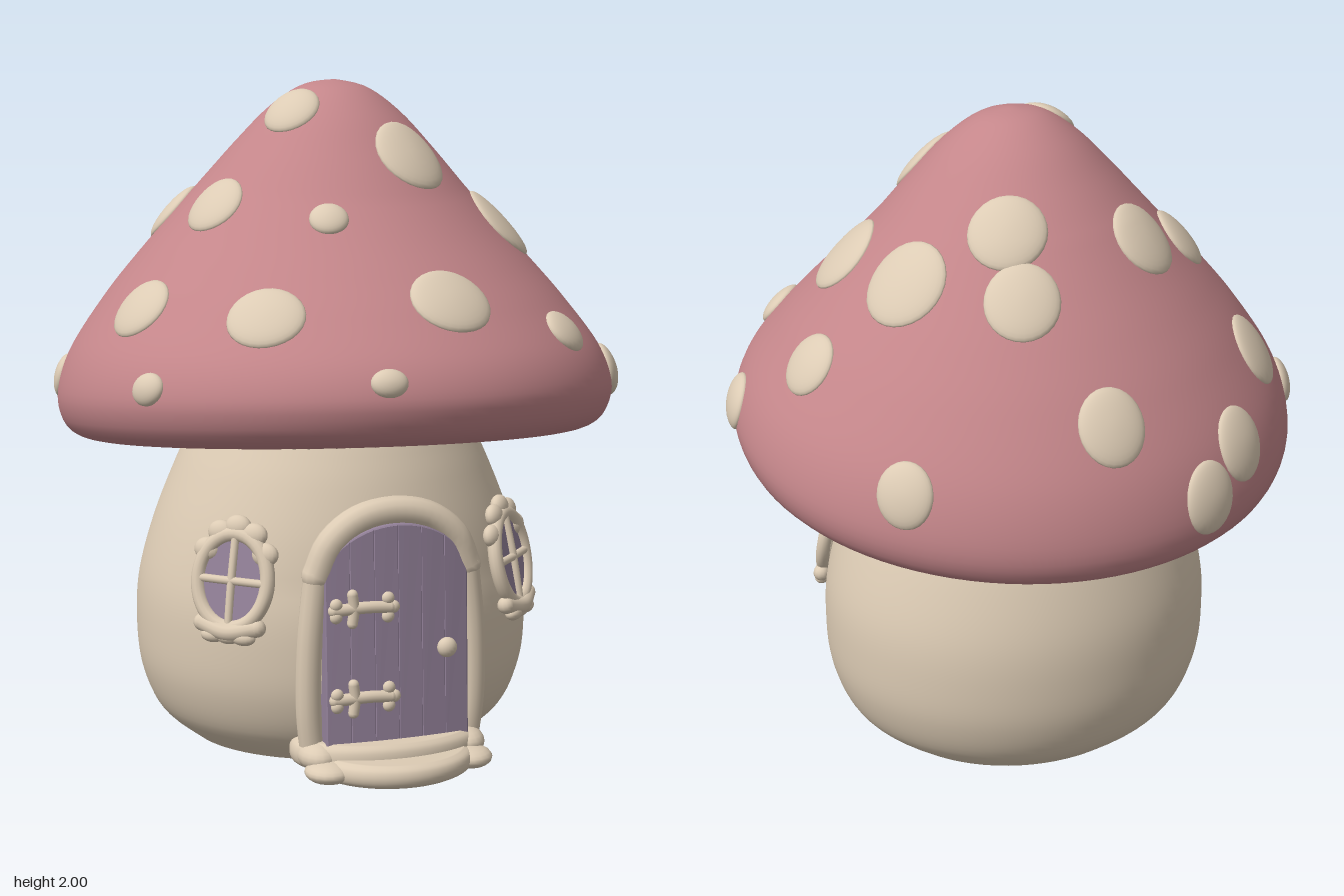
import * as THREE from 'three';
import { mergeVertices } from 'three/addons/utils/BufferGeometryUtils.js';

const mat = (name, color) => Object.assign(new THREE.MeshStandardMaterial({ color }), { name });
const cream = mat('cream', 0xdccbb4);
const rose = mat('rose', 0xc4868a);
const lilac = mat('lilac', 0x94829a);

const clamp = THREE.MathUtils.clamp;
const v2 = (list) => list.map(([x, y]) => new THREE.Vector2(x, y));
const v3 = (list) => list.map((p) => new THREE.Vector3(...p));

function add(parent, name, geometry, material, x = 0, y = 0, z = 0) {
  const m = new THREE.Mesh(geometry, material);
  m.name = name;
  m.position.set(x, y, z);
  parent.add(m);
  return m;
}

// Move every vertex by a rule, then rebuild seamless smooth normals
function reshape(geometry, rule) {
  const p = geometry.attributes.position, v = new THREE.Vector3();
  for (let i = 0; i < p.count; i++) {
    rule(v.fromBufferAttribute(p, i));
    p.setXYZ(i, v.x, v.y, v.z);
  }
  geometry.deleteAttribute('uv');
  geometry.deleteAttribute('normal');
  const g = mergeVertices(geometry, 1e-5);
  g.computeVertexNormals();
  return g;
}

// Round bar with ball ends, along a smooth path
function bar(parent, name, points, radius) {
  const g = new THREE.Group();
  g.name = name;
  parent.add(g);
  const path = new THREE.CatmullRomCurve3(v3(points));
  add(g, name + 'Bar', new THREE.TubeGeometry(path, 24, radius, 12), cream);
  for (const p of [points[0], points[points.length - 1]])
    add(g, name + 'End', new THREE.SphereGeometry(radius, 12, 10), cream, ...p);
}

function blob(parent, name, pos, size) {
  const g = new THREE.SphereGeometry(1, 18, 12);
  g.scale(...size);
  add(parent, name, g, cream, ...pos);
}

// Cap outline, from the underside lip over the rim to the tip
const capCurve = new THREE.SplineCurve(v2([
  [0.66, 0.95], [0.72, 0.92], [0.79, 0.935], [0.832, 0.98], [0.846, 1.065], [0.805, 1.19], [0.7, 1.342],
  [0.6, 1.462], [0.5, 1.573], [0.4, 1.685], [0.3, 1.8], [0.2, 1.905], [0.1, 1.975], [0, 1.997]]));
const capLength = capCurve.getLength();

// The rim sits tipped back, higher at the front, and the tip leans a little backward
const tip = (v) => { v.y += clamp(0.12 - 0.27 * (v.y - 1.02), -0.06, 0.12) * v.z - 0.02 * v.x; };

// Puffy spot wrapped onto the cap, centred over (x, z), as if rolled onto a cone
function spotGeometry(x, z, radius) {
  const angle = Math.atan2(x, z), reach = Math.min(Math.hypot(x, z), 0.838);
  let u = 1;
  while (u > 0.2 && capCurve.getPointAt(u).x < reach) u -= 0.004;
  const slant = reach / Math.max(-capCurve.getTangentAt(u).x, 0.05);
  const g = new THREE.SphereGeometry(1, 28, 16);
  g.rotateX(Math.PI / 2);
  return reshape(g, (v) => {
    const along = v.x * radius, up = slant - v.y * radius, h = v.z * 0.027;
    const t = clamp(u + (slant - Math.hypot(along, up)) / capLength, 0, 0.995);
    const a = angle + Math.atan2(along, up) * slant / reach;
    const p = capCurve.getPointAt(t), d = capCurve.getTangentAt(t);
    const r = p.x + d.y * h;
    v.set(r * Math.sin(a), p.y, r * Math.cos(a));
    tip(v);
    v.y -= d.x * h;
  });
}

function buildCap(root) {
  const cap = new THREE.Group();
  cap.name = 'cap';
  root.add(cap);
  add(cap, 'capSkin', reshape(new THREE.LatheGeometry(capCurve.getSpacedPoints(70), 96), tip), rose);

  // Gills: a ring with radial ridges, slightly wavy
  const gillLine = new THREE.SplineCurve(v2([[0.36, 0.925], [0.48, 0.908], [0.6, 0.908], [0.73, 0.935]]));
  const gills = reshape(new THREE.LatheGeometry(gillLine.getPoints(10), 720), (v) => {
    const a = Math.atan2(v.x, v.z), r = Math.hypot(v.x, v.z);
    v.y += 0.016 * (1 - Math.cos(90 * a + 1.6 * Math.sin(12 * r + 5 * a)));
    tip(v);
  });
  add(cap, 'gills', gills, cream);

  // Spots: x, z, radius
  const spots = [
    [0.08, -0.72, 0.1], [-0.35, -0.73, 0.095], [-0.2, -0.83, 0.09], [-0.56, -0.47, 0.105],
    [-0.78, -0.33, 0.065], [-0.23, -0.37, 0.115], [-0.435, -0.24, 0.1], [0.215, -0.45, 0.11],
    [0.185, -0.31, 0.115], [0.445, -0.18, 0.13], [0.63, -0.52, 0.085], [0.69, -0.04, 0.095],
    [0.46, 0.18, 0.13], [0.145, 0.26, 0.12], [-0.165, 0.08, 0.09], [-0.42, 0.13, 0.1],
    [-0.67, 0.21, 0.105], [-0.165, 0.41, 0.057], [-0.41, 0.57, 0.115], [0.115, 0.65, 0.125],
    [0.51, 0.56, 0.08], [0.79, 0.29, 0.09], [-0.72, 0.44, 0.055], [-0.135, 0.82, 0.053]];
  for (const s of spots) add(cap, 'spot', spotGeometry(...s), cream);
}

function buildStem(root) {
  const line = new THREE.SplineCurve(v2([[0.44, 0], [0.54, 0.085], [0.593, 0.21], [0.607, 0.35],
    [0.597, 0.5], [0.55, 0.67], [0.482, 0.84], [0.425, 0.96], [0.4, 1.03]]));
  // Slightly shallow, with a fuller neck at the front
  const stem = reshape(new THREE.LatheGeometry(line.getPoints(48), 72), (v) => {
    v.z *= 0.93 + (v.z > 0 ? 0.11 * clamp((v.y - 0.55) / 0.4, 0, 1) : 0);
  });
  add(root, 'stem', stem, cream, -0.012);
  const base = new THREE.CircleGeometry(0.44, 72);
  base.rotateX(Math.PI / 2);
  base.scale(1, 1, 0.93);
  add(root, 'stemBase', base, cream, -0.012);
}

function buildDoor(root) {
  const door = new THREE.Group();
  door.name = 'door';
  door.position.x = -0.007;
  root.add(door);
  const faceZ = (x, y) => 0.588 - 0.04 * y - 0.3 * x * x;

  // Close-set planks under a rounded arch
  const count = 6, width = 0.44 / count;
  const arch = (x) => 0.55 + 0.19 * Math.sqrt(Math.max(0, 1 - (x / 0.235) ** 2));
  for (let i = 0; i < count; i++) {
    const x0 = -0.22 + i * width + 0.002, x1 = x0 + width - 0.004;
    const top = [0, 1, 2, 3, 4].map((k) => x1 + (x0 - x1) * k / 4).map((x) => [x, arch(x)]);
    const shape = new THREE.Shape(v2([[x0, 0.08], [x1, 0.08], ...top]));
    const g = new THREE.ExtrudeGeometry(shape, {
      depth: 0.12, bevelSize: 0.004, bevelThickness: 0.003, bevelSegments: 1 });
    const p = g.attributes.position;
    for (let k = 0; k < p.count; k++)
      p.setZ(k, p.getZ(k) - 0.123 + faceZ(p.getX(k), p.getY(k)));
    g.computeVertexNormals();
    add(door, 'plank', g, lilac);
  }

  // Frame: two posts and a thicker arch
  for (const s of [-1, 1])
    bar(door, 'doorPost', [[s * 0.242, 0.06, 0.5], [s * 0.257, 0.2, 0.508], [s * 0.255, 0.4, 0.512],
      [s * 0.235, 0.6, 0.512]], 0.038);
  bar(door, 'doorArch', [[-0.235, 0.6, 0.512], [-0.195, 0.69, 0.516], [-0.11, 0.755, 0.514], [0, 0.776, 0.512],
    [0.11, 0.755, 0.514], [0.195, 0.69, 0.516], [0.235, 0.6, 0.512]], 0.043);

  // Strap hinges and knob
  for (const y of [0.24, 0.505]) {
    const z = faceZ(-0.1, y) + 0.008;
    bar(door, 'hingeStrap', [[-0.2, y, z - 0.005], [-0.1, y + 0.004, z], [-0.03, y, z]], 0.018);
    bar(door, 'hingeCross', [[-0.145, y - 0.04, z], [-0.14, y, z], [-0.145, y + 0.045, z]], 0.016);
    for (const [dx, dy] of [[-0.035, 0.027], [-0.035, -0.027], [-0.018, 0], [-0.195, 0.018], [-0.195, -0.018]])
      blob(door, 'hingeBead', [dx, y + dy, z], [0.019, 0.019, 0.015]);
  }
  blob(door, 'knob', [0.147, 0.37, faceZ(0.147, 0.37) + 0.015], [0.03, 0.03, 0.025]);
}

// Round-edged oval slab
function slab(parent, name, rx, rz, bottom, height, z) {
  const edge = new THREE.SplineCurve(v2([[0.88, 0], [0.97, 0.18], [1, 0.5], [0.97, 0.82], [0.88, 1]]));
  const g = new THREE.LatheGeometry([...v2([[0, 0]]), ...edge.getPoints(16), ...v2([[0, 1]])], 48);
  g.scale(rx, height, rz);
  add(parent, name, g, cream, -0.01, bottom, z);
}

function buildSteps(root) {
  const steps = new THREE.Group();
  steps.name = 'steps';
  root.add(steps);
  slab(steps, 'upperStep', 0.295, 0.18, 0.02, 0.088, 0.47);
  slab(steps, 'lowerStep', 0.25, 0.23, 0, 0.07, 0.51);
  for (const s of [-1, 1]) {
    blob(steps, 'stepEnd', [-0.01 + s * 0.23, 0.064, 0.52], [0.06, 0.044, 0.08]);
    blob(steps, 'stepStone', [-0.01 + s * 0.22, 0.033, 0.585], [0.07, 0.033, 0.075]);
  }
}

function buildWindow(root, side) {
  const w = new THREE.Group();
  w.name = side > 0 ? 'leftWindow' : 'rightWindow';
  w.position.set(side * 0.435 - 0.008, 0.568, 0.364);
  w.rotation.set(-0.2, side * 0.79, 0, 'YXZ');
  root.add(w);

  const rx = 0.113, ry = 0.137, ring = [];
  for (let i = 0; i < 24; i++) {
    const a = i * Math.PI / 12;
    ring.push([rx * Math.cos(a), ry * Math.sin(a), 0.008]);
  }
  const path = new THREE.CatmullRomCurve3(v3(ring), true);
  add(w, 'windowRing', new THREE.TubeGeometry(path, 48, 0.022, 12, true), cream);
  const glass = new THREE.CircleGeometry(1, 40);
  glass.scale(rx, ry, 1);
  add(w, 'glass', glass, lilac, 0, 0, 0.012);

  // Glazing bars
  bar(w, 'uprightBar', [[0, -ry, 0.014], [0, 0, 0.018], [0, ry, 0.014]], 0.012);
  bar(w, 'crossBar', [[-rx, 0, 0.014], [0, 0, 0.018], [rx, 0, 0.014]], 0.012);

  // Scalloped hood and bowed sill
  for (let i = 0; i < 5; i++) {
    const a = Math.PI * (0.18 + 0.16 * i);
    blob(w, 'hoodScallop', [0.112 * Math.cos(a), 0.158 * Math.sin(a), 0.002], [0.042, 0.035, 0.025]);
  }
  bar(w, 'sill', [[-0.09, -0.13, 0.004], [0, -0.15, 0.016], [0.09, -0.13, 0.004]], 0.026);
  for (const x of [-0.05, 0, 0.05])
    blob(w, 'sillScallop', [x, -0.163, 0.008], [0.038, 0.022, 0.024]);
}

export function createModel() {
  const root = new THREE.Group();
  root.name = 'mushroomHouse';
  buildCap(root);
  buildStem(root);
  buildDoor(root);
  buildSteps(root);
  for (const side of [-1, 1]) buildWindow(root, side);
  return root;
}
